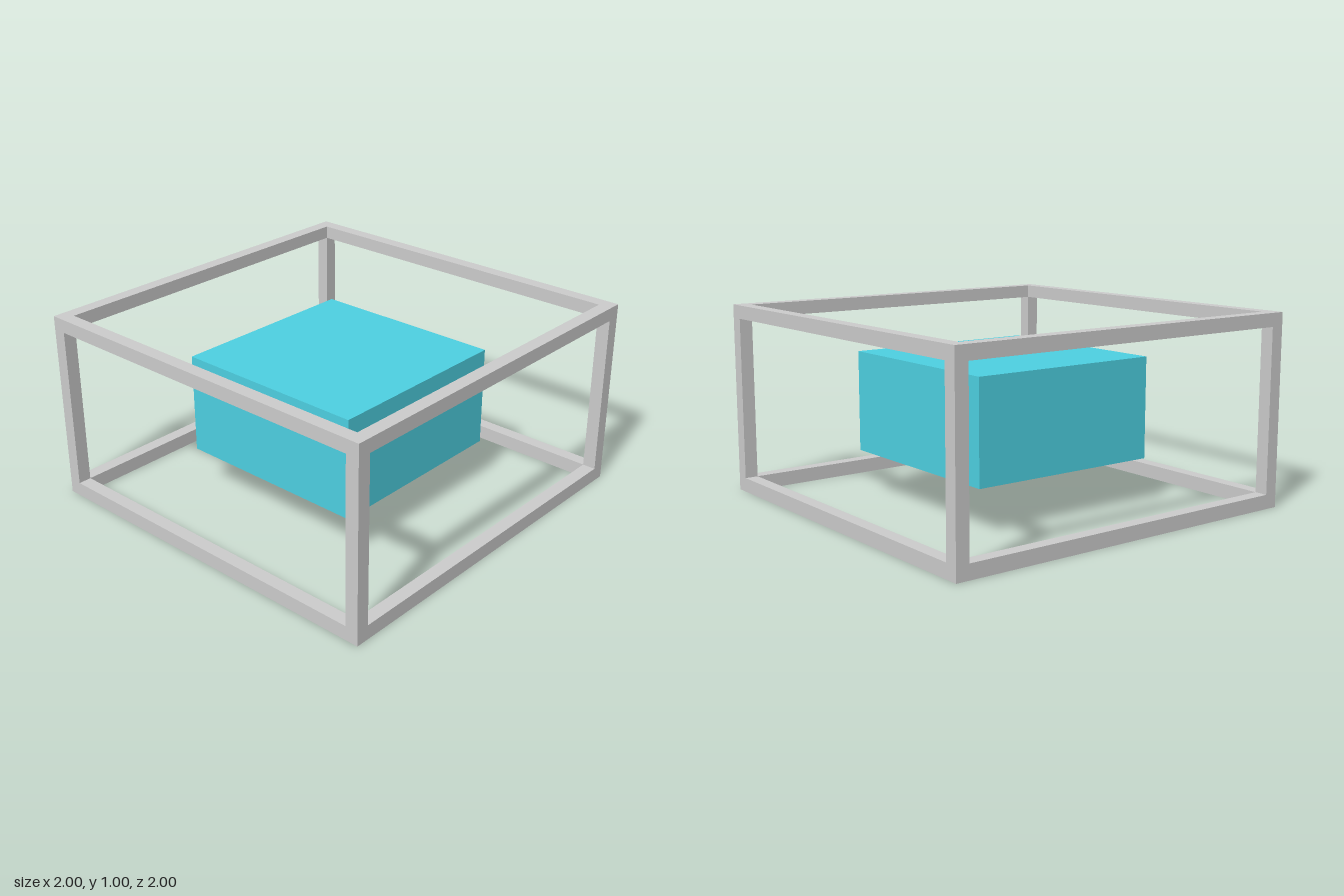
import * as THREE from 'three';

export function createModel() {
  const model = new THREE.Group();
  const grey = new THREE.MeshStandardMaterial({ color: 0xcccccc });
  const cyan = new THREE.MeshStandardMaterial({ color: 0x4dd0e1 });
  const W = 2, H = 1, T = 0.07, BASE = 0.075;

  const box = (name, size, pos, material, parent) => {
    const mesh = new THREE.Mesh(new THREE.BoxGeometry(...size), material);
    mesh.name = name;
    mesh.position.set(...pos);
    parent.add(mesh);
  };

  // Open frame: bars butt against each other so no faces overlap
  const frame = new THREE.Group();
  frame.name = 'frame';
  model.add(frame);
  const edge = (W - T) / 2;

  // Bottom and top rails
  for (const [level, h, y] of [['bottom', BASE, BASE / 2], ['top', T, H - T / 2]]) {
    for (const s of [1, -1]) {
      box(`${level}${s > 0 ? 'Front' : 'Back'}Rail`, [W, h, T], [0, y, s * edge], grey, frame);
      box(`${level}${s > 0 ? 'Left' : 'Right'}Rail`, [T, h, W - 2 * T], [s * edge, y, 0], grey, frame);
    }
  }

  // Corner posts between the rails
  const postHeight = H - T - BASE;
  for (const sx of [1, -1]) {
    for (const sz of [1, -1]) {
      box(`${sz > 0 ? 'front' : 'back'}${sx > 0 ? 'Left' : 'Right'}Post`,
        [T, postHeight, T], [sx * edge, BASE + postHeight / 2, sz * edge], grey, frame);
    }
  }

  // Solid block floating in the centre
  box('core', [1.056, 0.528, 1.056], [0, H / 2, 0], cyan, model);

  return model;
}
